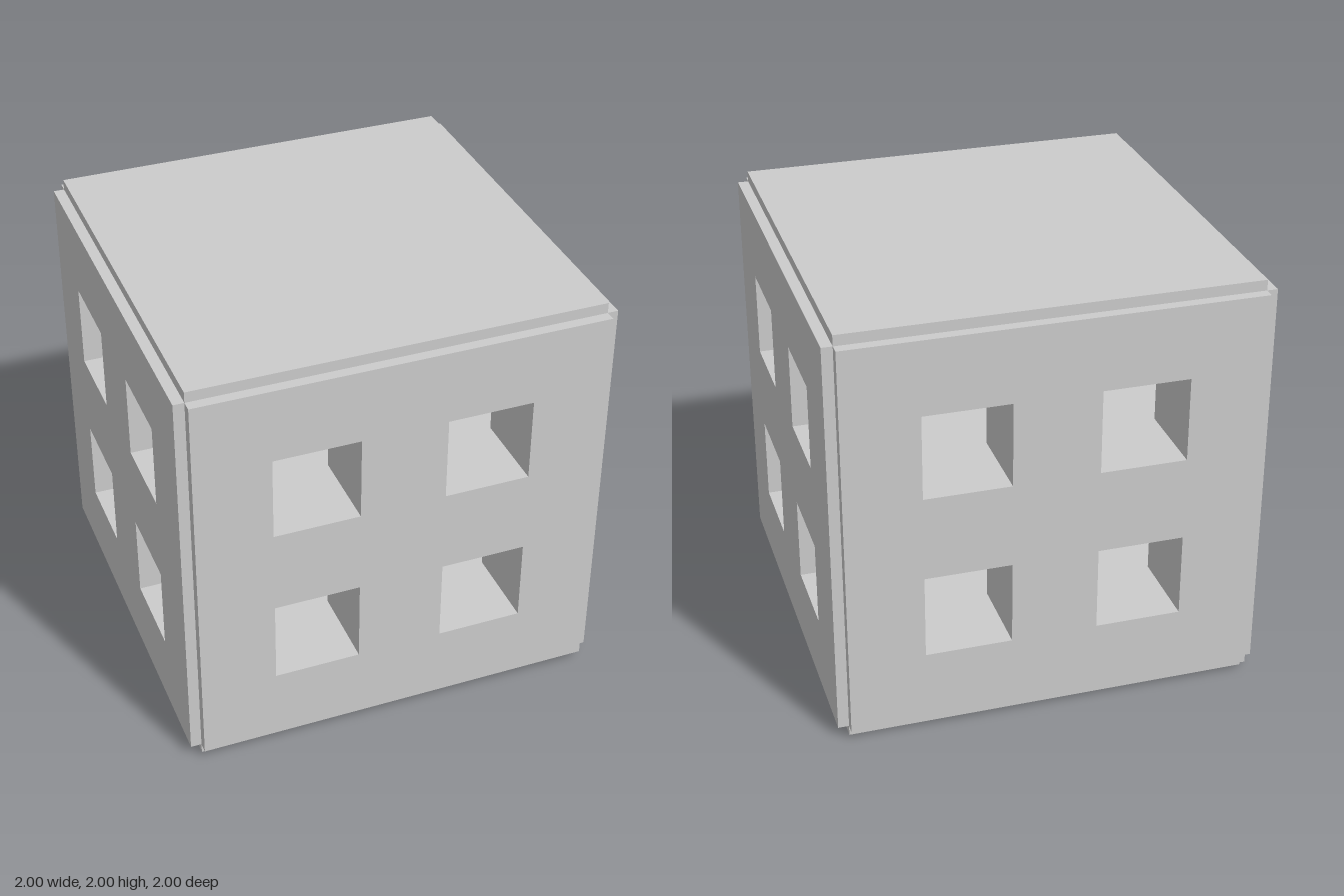
import * as THREE from 'three';

const material = new THREE.MeshStandardMaterial({ color: 0xcccccc, flatShading: true });
const CORE = 0.95;      // half size of the core block
const PLATE = 0.05;     // thickness of the raised face plates
const HOLE = 0.4;       // side of each square tunnel, also its centre offset
const SOLID = [[-CORE, -0.6], [-0.2, 0.2], [0.6, CORE]]; // solid bands between tunnels

// Box spanning a [min, max] range on each axis
function spanBox(name, xs, ys, zs) {
  const geo = new THREE.BoxGeometry(xs[1] - xs[0], ys[1] - ys[0], zs[1] - zs[0]);
  const mesh = new THREE.Mesh(geo, material);
  mesh.name = name;
  mesh.position.set((xs[0] + xs[1]) / 2, (ys[0] + ys[1]) / 2, (zs[0] + zs[1]) / 2);
  return mesh;
}

function trace(path, cx, cy, h) {
  path.moveTo(cx - h, cy - h);
  path.lineTo(cx + h, cy - h);
  path.lineTo(cx + h, cy + h);
  path.lineTo(cx - h, cy + h);
  path.closePath();
  return path;
}

export function createModel() {
  const model = new THREE.Group();
  model.name = 'piercedCube';
  const body = new THREE.Group();
  body.position.y = 1;
  model.add(body);

  const full = [-CORE, CORE];

  // Core: solid slabs above, between and below the two tunnel levels
  ['lowerSlab', 'middleSlab', 'upperSlab'].forEach((name, i) => {
    body.add(spanBox(name, full, SOLID[i], full));
  });

  // Pillars left standing between the crossing tunnels, on both levels
  for (const level of [[-0.6, -0.2], [0.2, 0.6]]) {
    for (const xs of SOLID) {
      for (const zs of SOLID) body.add(spanBox('pillar', xs, level, zs));
    }
  }

  // Plain top and bottom plates
  body.add(spanBox('topPlate', full, [CORE, CORE + PLATE], full));
  body.add(spanBox('bottomPlate', full, [-CORE - PLATE, -CORE], full));

  // Four side plates, each pierced by four square windows
  const face = trace(new THREE.Shape(), 0, 0, CORE);
  for (const x of [-HOLE, HOLE]) {
    for (const y of [-HOLE, HOLE]) face.holes.push(trace(new THREE.Path(), x, y, HOLE / 2));
  }
  const plateGeo = new THREE.ExtrudeGeometry(face, { depth: PLATE, bevelEnabled: false });
  plateGeo.translate(0, 0, CORE);
  ['frontPlate', 'leftPlate', 'backPlate', 'rightPlate'].forEach((name, i) => {
    const plate = new THREE.Mesh(plateGeo, material);
    plate.name = name;
    plate.rotation.y = i * Math.PI / 2;
    body.add(plate);
  });

  return model;
}
